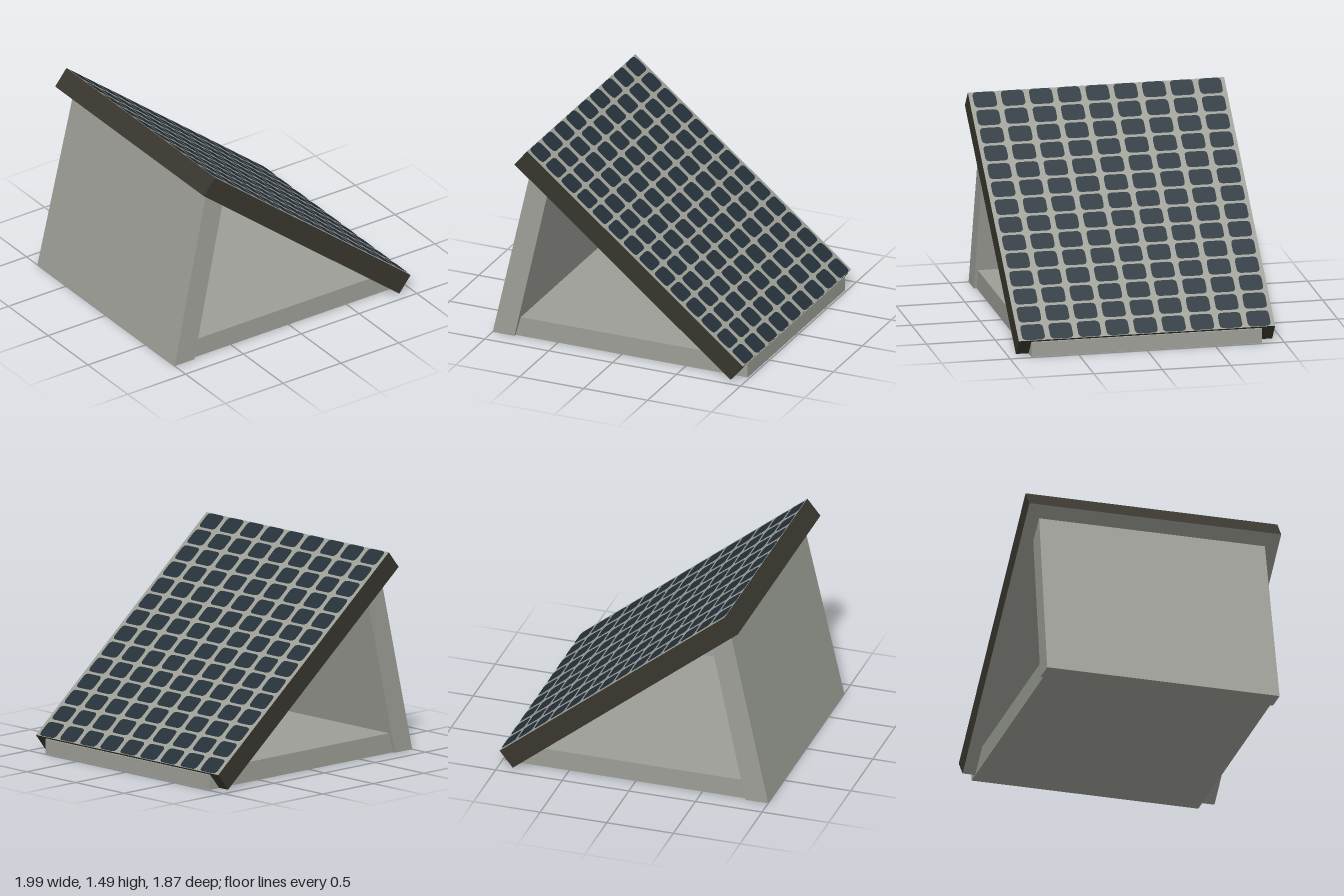
import * as THREE from 'three';
import { mergeGeometries } from 'three/addons/utils/BufferGeometryUtils.js';

const WIDTH = 1.87, LENGTH = 2.175, THICK = 0.156;
const COLS = 14, ROWS = 9;

function paint(name, color) {
  const m = new THREE.MeshStandardMaterial({ color });
  m.name = name;
  return m;
}

// Extrudes a side outline (x, y) across z, centred on z = 0
function slab(points, halfWidth) {
  const shape = new THREE.Shape(points.map(([x, y]) => new THREE.Vector2(x, y)));
  return new THREE.ExtrudeGeometry(shape, { depth: halfWidth * 2, bevelEnabled: false })
    .translate(0, 0, -halfWidth);
}

function roundedRect(w, h, r) {
  const s = new THREE.Shape(), x = w / 2, y = h / 2;
  s.moveTo(-x + r, -y);
  s.lineTo(x - r, -y).quadraticCurveTo(x, -y, x, -y + r);
  s.lineTo(x, y - r).quadraticCurveTo(x, y, x - r, y);
  s.lineTo(-x + r, y).quadraticCurveTo(-x, y, -x, y - r);
  s.lineTo(-x, -y + r).quadraticCurveTo(-x, -y, -x + r, -y);
  return s;
}

export function createModel() {
  const model = new THREE.Group();
  model.name = 'solarPanel';
  const grey = paint('standGrey', 0x9c9e96);
  const frame = paint('frameDark', 0x38362d);
  const cellBlue = paint('cellBlue', 0x25313a);

  const add = (parent, name, geometry, material) => {
    const mesh = new THREE.Mesh(geometry, material);
    mesh.name = name;
    parent.add(mesh);
  };

  // Floor plate, trimmed at the front to stay under the panel
  add(model, 'basePlate', slab(
    [[-0.83, 0], [0.985, 0], [0.985, 0.108], [0.94, 0.145], [-0.79, 0.145]], 0.842), grey);

  // Leaning back support, slightly narrower towards the top
  const support = slab([[-1, 0], [-0.83, 0], [-0.57, 1.19], [-0.712, 1.305]], 0.863);
  const p = support.attributes.position;
  for (let i = 0; i < p.count; i++) p.setZ(i, p.getZ(i) * (1 - 0.022 * p.getY(i)));
  support.computeVertexNormals();
  add(model, 'backSupport', support, grey);

  // Sloping panel: dark rim, grey faces above and below
  const panel = new THREE.Group();
  panel.name = 'panel';
  panel.position.set(0.097, 0.7475, 0);
  panel.rotation.z = -0.681;
  model.add(panel);
  add(panel, 'panelBody', new THREE.BoxGeometry(LENGTH, THICK, WIDTH),
    [frame, frame, grey, grey, frame, frame]);

  // Grid of rounded cells lying on the panel
  const cell = new THREE.ShapeGeometry(roundedRect(0.135, 0.167, 0.035), 4).rotateX(-Math.PI / 2);
  const cells = [];
  for (let i = 0; i < COLS; i++) {
    for (let j = 0; j < ROWS; j++) {
      cells.push(cell.clone().translate(
        (i - (COLS - 1) / 2) * 0.1565, THICK / 2 + 0.003, (j - (ROWS - 1) / 2) * 0.2058));
    }
  }
  add(panel, 'solarCells', mergeGeometries(cells), cellBlue);

  return model;
}
